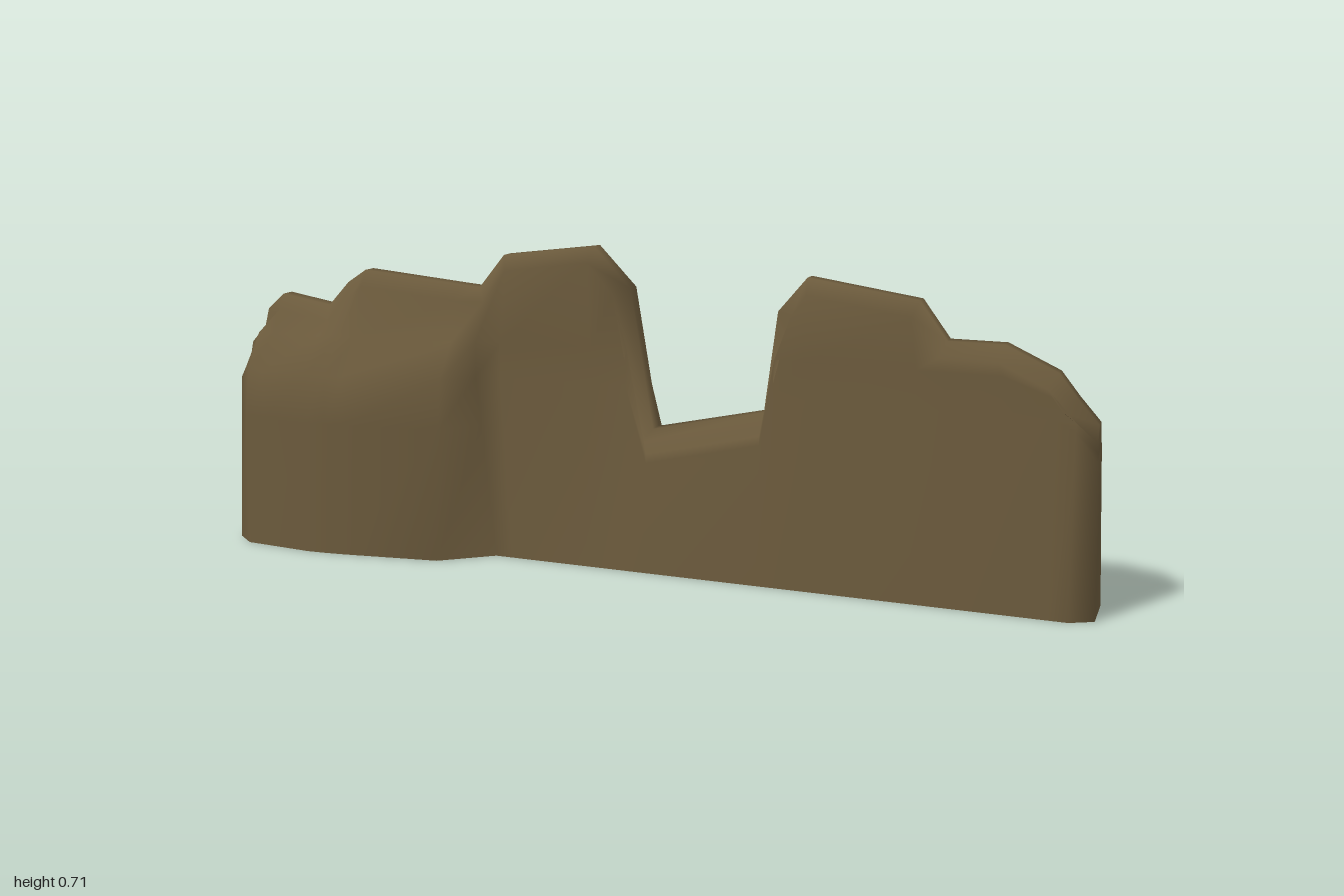
import * as THREE from 'three';

// piecewise-linear lookup in a list of [x, value]
function lookup(table, x) {
  if (x <= table[0][0]) return table[0][1];
  for (let i = 1; i < table.length; i++) {
    const [x0, v0] = table[i - 1], [x1, v1] = table[i];
    if (x <= x1) return v0 + (v1 - v0) * (x - x0) / (x1 - x0);
  }
  return table[table.length - 1][1];
}
const lerp = THREE.MathUtils.lerp;

// broken upper outline: x, height, and x at the foot where it differs
const outline = [
  [-0.985, 0.46, -1], [-0.95, 0.5], [-0.94, 0.54], [-0.9, 0.577], [-0.78, 0.555], [-0.73, 0.61],
  [-0.685, 0.64], [-0.45, 0.615, -0.46], [-0.4, 0.61, -0.35], [-0.34, 0.685, -0.31],
  [-0.125, 0.71], [-0.04, 0.62], [0.015, 0.31], [0.28, 0.37], [0.31, 0.59], [0.375, 0.665],
  [0.62, 0.63], [0.68, 0.55], [0.8, 0.55], [0.91, 0.5], [0.95, 0.45], [0.992, 0.4, 1],
];
// plan of the foot, and the centre line of the upper wall
const footFront = [[-1, 0.08], [-0.95, 0.13], [-0.77, 0.165], [-0.7, 0.165], [-0.46, 0.15],
  [-0.35, 0.065], [0.95, 0.2], [1, 0.175]];
const footBack = [[-1, -0.09], [-0.95, -0.145], [-0.33, -0.2], [0.95, -0.005], [1, 0.05]];
const centre = [[-0.03, 0], [0.3, 0.055], [0.95, 0.145], [1, 0.14]];
const levels = [0, 0.3, 0.41, 0.49];

// one cross-section: front foot, up over the chamfered crest, down to the back foot
function section(i) {
  const [x, top, xFoot = x] = outline[i];
  const end = i === 0 || i === outline.length - 1;
  const mid = lookup(centre, xFoot);
  const half = end ? 0.033 : 0.048;
  const zf = lookup(footFront, xFoot), zb = lookup(footBack, xFoot);
  const buttress = xFoot < -0.4;

  // shoulder below the crest, inset square to the outline
  let sx = x, sy = top - 0.035;
  if (!end) {
    const p = outline[i - 1], n = outline[i + 1];
    const tx = n[0] - p[0], ty = n[1] - p[1], len = Math.hypot(tx, ty);
    sx = x + 0.035 * ty / len;
    sy = top - 0.035 * tx / len;
  }
  const front = [], back = [];
  levels.forEach((level, k) => {
    const y = Math.min(level, sy - 0.02 * (levels.length - k));
    const px = lerp(xFoot, x, Math.min(1, y / 0.41));
    const upper = mid + half;
    let z = lerp(zf, upper, Math.min(1, y / 0.5));
    if (buttress) z = k < 3 ? zf * (1 - 0.16 * y) : lerp(upper, zf, 0.25);
    front.push([px, y, z]);
    back.push([px, y, lerp(zb, mid - half - 0.012, Math.min(1, y / 0.3))]);
  });
  front.push([sx, sy, mid + half], [x, top, mid + 0.02]);
  back.push([sx, sy, mid - half], [x, top, mid - 0.02]);
  return [...front, ...back.reverse()];
}

function wallGeometry() {
  const sections = outline.map((_, i) => section(i));
  const n = sections[0].length, last = sections.length - 1;
  const index = [];
  const quad = (a, b, c, d) => index.push(a, b, c, a, c, d);
  for (let i = 0; i < last; i++) {
    for (let j = 0; j < n - 1; j++) {
      quad(i * n + j, (i + 1) * n + j, (i + 1) * n + j + 1, i * n + j + 1);
    }
  }
  // close both ends; the underside stays open
  for (let j = 0; j < n / 2 - 1; j++) {
    const f = j, b = n - 1 - j, o = last * n;
    quad(b, f, f + 1, b - 1);
    quad(o + f, o + b, o + b - 1, o + f + 1);
  }
  const geometry = new THREE.BufferGeometry();
  geometry.setAttribute('position', new THREE.Float32BufferAttribute(sections.flat(2), 3));
  geometry.setIndex(index);
  geometry.computeVertexNormals();
  return geometry;
}

export function createModel() {
  const group = new THREE.Group();
  group.name = 'ruinedWall';
  const earth = new THREE.MeshStandardMaterial({ color: 0x6b5a3c, side: THREE.DoubleSide });
  earth.name = 'earth brown';
  const wall = new THREE.Mesh(wallGeometry(), earth);
  wall.name = 'brokenWall';
  group.add(wall);
  return group;
}
